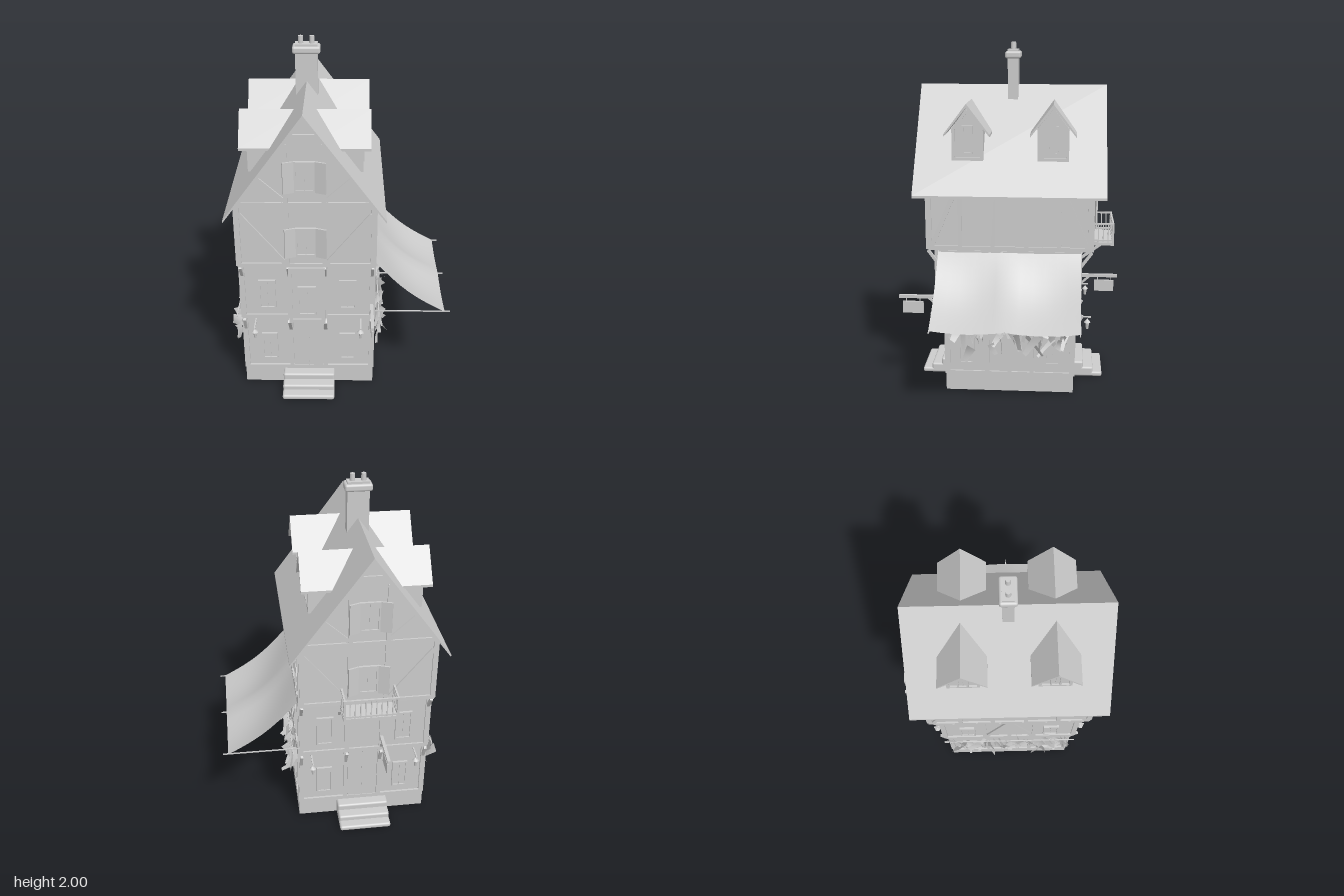
import * as THREE from 'three';
import { RoundedBoxGeometry } from 'three/addons/geometries/RoundedBoxGeometry.js';

const grey = new THREE.MeshStandardMaterial({ color: 0xcccccc });
const thin = new THREE.MeshStandardMaterial({ color: 0xcccccc, side: THREE.DoubleSide });
const W = 0.37;                        // half width of the house
const RIDGE = 1.76, SLOPE = 1.365;     // main roof
const roofY = x => RIDGE - SLOPE * Math.abs(x);

function add(parent, name, geo, x = 0, y = 0, z = 0, mat = grey) {
  const m = new THREE.Mesh(geo, mat);
  m.name = name;
  m.position.set(x, y, z);
  parent.add(m);
  return m;
}
const box = (p, name, w, h, d, x, y, z) => add(p, name, new THREE.BoxGeometry(w, h, d), x, y, z);

function group(parent, name, rotY = 0) {
  const g = new THREE.Group();
  g.name = name;
  g.rotation.y = rotY;
  parent.add(g);
  return g;
}

// Square bar between two points
function bar(p, name, a, b, w = 0.015, d = w) {
  const A = new THREE.Vector3(...a), B = new THREE.Vector3(...b);
  const m = box(p, name, w, A.distanceTo(B), d, 0, 0, 0);
  m.position.copy(A).add(B).multiplyScalar(0.5);
  m.quaternion.setFromUnitVectors(new THREE.Vector3(0, 1, 0), B.sub(A).normalize());
  return m;
}

// Flat timbers on a wall that stands at distance z; each entry is [u1, v1, u2, v2]
function timbers(p, z, list, w = 0.024) {
  for (const [a, b, c, d] of list) bar(p, 'timber', [a, b, z, ], [c, d, z], w, 0.02);
}
const mirrored = list => list.flatMap(([a, b, c, d]) => [[a, b, c, d], [-a, b, -c, d]]);

const rect = (T, w, h) => new T([[-w, -h], [w, -h], [w, h], [-w, h]].map(([x, y]) => new THREE.Vector2(x / 2, y / 2)));

function ring(w, d, t, h) {
  const s = rect(THREE.Shape, w, d);
  s.holes.push(rect(THREE.Path, w - 2 * t, d - 2 * t));
  return new THREE.ExtrudeGeometry(s, { depth: h, bevelEnabled: false });
}

function windowAt(p, u, v, z, w = 0.09, h = 0.18) {
  const g = group(p, 'window');
  g.position.set(u, v, z);
  add(g, 'windowFrame', ring(w, h, 0.01, 0.014));
  box(g, 'windowPane', w - 0.015, h - 0.015, 0.006, 0, 0, 0.003);
  box(g, 'mullion', 0.005, h - 0.015, 0.005, 0, 0, 0.007);
  return g;
}

function shutteredWindow(p, v, z) {
  const g = windowAt(p, 0, v, z, 0.11, 0.17);
  for (const s of [-1, 1]) {
    const m = box(g, 'shutter', 0.06, 0.175, 0.01, s * 0.083, 0, 0.022);
    m.rotation.y = -s * 0.35;
  }
}

// Chevron-shaped roof sheet, half width w, ridge at y, extruded along z
function chevron(w, y, slope, length, t = 0.014) {
  const s = new THREE.Shape([[-w, y - slope * w], [0, y], [w, y - slope * w], [w, y - slope * w - t], [0, y - t * 1.5],
    [-w, y - slope * w - t]].reverse().map(p => new THREE.Vector2(...p)));
  return new THREE.ExtrudeGeometry(s, { depth: length, bevelEnabled: false });
}

function seeded(seed) {
  return () => (seed = (seed * 16807) % 2147483647) / 2147483647;
}

// Gable wall: timber frame, windows, steps, door, lanterns and hanging sign
function endWall(house, name, rotY, signU) {
  const g = group(house, name, rotY);
  const z0 = 0.37, z1 = 0.40, z2 = 0.465;
  // Ground floor
  timbers(g, z0, [[-W, 0.47, W, 0.47], [-W, 0.11, W, 0.11], ...mirrored([[0.36, 0.1, 0.36, 0.48], [0.1, 0.1, 0.1, 0.48]])]);
  for (const u of [-0.225, 0.225]) windowAt(g, u, 0.26, z0);
  box(g, 'door', 0.17, 0.35, 0.012, 0, 0.28, z0);
  box(g, 'doorSplit', 0.006, 0.35, 0.016, 0, 0.28, z0);
  [[0.55, 0.03], [0.495, 0.06], [0.435, 0.095]].forEach(([z, y]) =>
    add(g, 'step', new RoundedBoxGeometry(0.3, y, z - 0.36, 2, 0.012), 0, y / 2, (z + 0.36) / 2));
  // First floor
  timbers(g, z1, [[-W, 0.49, W, 0.49], [-W, 0.845, W, 0.845], ...mirrored([[0.36, 0.48, 0.36, 0.86], [0.1, 0.48, 0.1, 0.86]])]);
  for (const u of [-0.225, 0.225]) windowAt(g, u, 0.64, z1, 0.095, 0.185);
  for (const u of [-0.36, -0.1, 0.1, 0.36]) {
    bar(g, 'floorBracket', [u, 0.38, z0], [u, 0.475, z1 + 0.02], 0.016);
    bar(g, 'jettyBracket', [u, 0.76, z1], [u, 0.85, z2], 0.016);
  }
  // Upper floor and gable
  const rake = o => [o, roofY(o) - 0.03];
  timbers(g, z2, [[-W, 0.87, W, 0.87], [-W, 1.24, W, 1.24], [-0.09, 1.62, 0.09, 1.62],
    ...mirrored([[0.36, 0.86, 0.36, 1.25], [0.1, 0.86, 0.1, 1.58], [0.35, 1.18, 0.11, 0.88],
      [0.11, 1.26, ...rake(0.25)], [...rake(0.36), 0, RIDGE - 0.03]])]);
  shutteredWindow(g, 1.015, z2);
  shutteredWindow(g, 1.4, z2);
  // Lanterns
  for (const u of [-0.3, 0.3]) {
    const l = group(g, 'lantern');
    l.position.set(u, 0.4, 0.45);
    bar(l, 'lanternArm', [0, 0.045, -0.08], [0, 0.045, 0.02], 0.008);
    add(l, 'lanternGlass', new THREE.CylinderGeometry(0.012, 0.007, 0.04, 6), 0, -0.008);
    add(l, 'lanternCap', new THREE.ConeGeometry(0.02, 0.025, 6), 0, 0.024);
  }
  // Sign on a beam
  bar(g, 'signBeam', [signU, 0.57, z1 - 0.02], [signU, 0.57, 0.64], 0.018);
  bar(g, 'signBrace', [signU, 0.5, z1], [signU, 0.565, 0.47], 0.012);
  box(g, 'signBoard', 0.012, 0.07, 0.12, signU, 0.505, 0.56);
  for (const z of [0.52, 0.6]) bar(g, 'signHook', [signU, 0.53, z], [signU, 0.57, z], 0.005);
  return g;
}

// Long wall: timbers, windows, hanging rags and two dormers
function sideWall(house, name, rotY, seed) {
  const g = group(house, name, rotY);
  timbers(g, W, [[-0.37, 0.47, 0.37, 0.47], [-0.37, 0.11, 0.37, 0.11], [0, 0.1, 0, 0.48],
    ...mirrored([[0.36, 0.1, 0.36, 0.48], [0.13, 0.1, 0.13, 0.48]])]);
  timbers(g, W, [[-0.4, 0.49, 0.4, 0.49], [-0.4, 0.845, 0.4, 0.845], [0, 0.48, 0, 0.86],
    ...mirrored([[0.39, 0.48, 0.39, 0.86], [0.15, 0.48, 0.15, 0.86], [0.01, 0.83, 0.14, 0.5]])]);
  timbers(g, W, [[-0.46, 0.87, 0.46, 0.87], [-0.46, 1.22, 0.46, 1.22],
    ...mirrored([[0.453, 0.86, 0.453, 1.24], [0.28, 0.86, 0.28, 1.24], [0.095, 0.86, 0.095, 1.24], [0.44, 0.88, 0.3, 1.21]])]);
  for (const u of [-0.25, 0.25]) {
    windowAt(g, u, 0.26, W);
    windowAt(g, u, 0.64, W);
  }
  // Rags hung from a line under the first floor
  const rnd = seeded(seed), rags = group(g, 'hangingRags');
  bar(rags, 'ragLine', [-0.4, 0.48, 0.405], [0.4, 0.48, 0.405], 0.006);
  for (let i = 0; i < 54; i++) {
    const w = 0.02 + 0.04 * rnd(), h = 0.06 + 0.09 * rnd();
    const geo = new THREE.PlaneGeometry(w, h, 2, 3), p = geo.attributes.position;
    for (let k = 0; k < p.count; k++) {
      const t = p.getY(k) / h;
      p.setX(k, p.getX(k) * (0.75 + 0.5 * t));
      p.setZ(k, 0.03 * t * t + 0.01 * Math.sin(p.getX(k) * 90));
    }
    geo.computeVertexNormals();
    const u = -0.36 + 0.73 * ((i + rnd()) / 54);
    const drop = rnd() ** 1.5 * (0.1 + 0.12 * Math.abs(Math.sin(u * 9)));
    const m = add(rags, 'rag', geo, u, 0.44 - drop, 0.385 + 0.035 * rnd(), thin);
    m.rotation.set((rnd() - 0.5) * 0.6, (rnd() - 0.5) * 2.2, (rnd() - 0.5) * 1.6);
  }
  // Dormers
  for (const u of [-0.24, 0.24]) {
    const d = group(g, 'dormer');
    d.position.x = u;
    const face = new THREE.Shape([[-0.088, 1.355], [0.088, 1.355], [0.088, 1.54], [0, 1.66], [-0.088, 1.54]]
      .map(p => new THREE.Vector2(...p)));
    add(d, 'dormerWall', new THREE.ExtrudeGeometry(face, { depth: 0.245, bevelEnabled: false }), 0, 0, 0.05);
    add(d, 'dormerRoof', chevron(0.129, 1.68, 1.31, 0.335), 0, 0, 0.01);
    timbers(d, 0.295, [[-0.085, 1.37, 0.085, 1.37], ...mirrored([[0.08, 1.36, 0.08, 1.54], [0.085, 1.53, 0, 1.64]])], 0.016);
    windowAt(d, 0, 1.475, 0.297, 0.06, 0.16);
  }
  return g;
}

export function createModel() {
  const model = new THREE.Group();
  model.name = 'timberFramedHouse';
  const house = group(model, 'house');
  house.position.x = -0.185;

  // Hollow plinth and ground floor, open underneath
  add(house, 'plinth', ring(0.75, 0.745, 0.03, 0.1), 0, 0.1, 0).rotation.x = Math.PI / 2;
  add(house, 'groundFloorWalls', ring(0.74, 0.735, 0.02, 0.39), 0, 0.485, 0).rotation.x = Math.PI / 2;
  box(house, 'firstFloorWalls', 0.74, 0.375, 0.8, 0, 0.67, 0);
  const gable = new THREE.Shape([[-W, 0.855], [W, 0.855], [W, roofY(W) - 0.01], [0, RIDGE - 0.012], [-W, roofY(W) - 0.01]]
    .map(p => new THREE.Vector2(...p)));
  add(house, 'upperWalls', new THREE.ExtrudeGeometry(gable, { depth: 0.93, bevelEnabled: false }), 0, 0, -0.465);
  add(house, 'mainRoof', chevron(0.425, RIDGE, SLOPE, 1.08), 0, 0, -0.54);

  const front = endWall(house, 'frontWall', 0, 0.36);
  const back = endWall(house, 'backWall', Math.PI, 0.1);
  sideWall(house, 'leftWall', Math.PI / 2, 11);
  sideWall(house, 'rightWall', -Math.PI / 2, 47);

  // Front bay window
  box(front, 'bay', 0.19, 0.35, 0.07, 0, 0.67, 0.43);
  timbers(front, 0.463, [[-0.1, 0.505, 0.1, 0.505], [-0.1, 0.84, 0.1, 0.84], ...mirrored([[0.09, 0.49, 0.09, 0.85]])], 0.02);
  windowAt(front, 0, 0.64, 0.465, 0.1, 0.185);
  for (const u of [-0.1, 0.1]) bar(front, 'bayBracket', [u, 0.38, 0.37], [u, 0.49, 0.46], 0.018);

  // Back balcony
  const balcony = group(back, 'balcony');
  box(balcony, 'balconyFloor', 0.3, 0.02, 0.14, 0, 0.845, 0.53);
  const rail = (a, b, n) => {
    for (const y of [0.865, 0.965]) bar(balcony, 'rail', [a[0], y, a[1]], [b[0], y, b[1]], 0.01);
    for (let i = 0; i <= n; i++) {
      const x = a[0] + (b[0] - a[0]) * i / n, z = a[1] + (b[1] - a[1]) * i / n;
      bar(balcony, 'baluster', [x, 0.855, z], [x, 0.97, z], i % n ? 0.006 : 0.012);
    }
  };
  rail([-0.144, 0.594], [0.144, 0.594], 10);
  for (const u of [-0.144, 0.144]) {
    rail([u, 0.48], [u, 0.594], 4);
    bar(balcony, 'balconyBrace', [u, 0.75, 0.4], [u, 0.84, 0.52], 0.015);
  }

  // Chimney with cap and two pots
  const chimney = group(house, 'chimney');
  box(chimney, 'stack', 0.12, 0.36, 0.06, 0, 1.74, 0);
  add(chimney, 'cap', new RoundedBoxGeometry(0.15, 0.04, 0.09, 2, 0.012), 0, 1.93, 0);
  box(chimney, 'capTop', 0.12, 0.016, 0.06, 0, 1.953, 0);
  for (const x of [-0.03, 0.03])
    add(chimney, 'pot', new THREE.CylinderGeometry(0.013, 0.015, 0.06, 12), x, 1.97, 0);

  // Sagging awning on three poles
  const awning = group(model, 'awning');
  const cloth = new THREE.PlaneGeometry(1, 0.81, 12, 12), p = cloth.attributes.position;
  for (let i = 0; i < p.count; i++) {
    const t = p.getX(i) + 0.5, z = p.getY(i);
    const sag = Math.sin(Math.PI * t) * (0.03 + 0.018 * Math.abs(Math.sin(z * 7.75)));
    const hem = 0.015 * t * Math.abs(Math.sin(z * 7.75));
    p.setXYZ(i, 0.185 + 0.405 * t - sag * 0.4, 0.86 - 0.335 * t - sag - hem, -z);
  }
  cloth.computeVertexNormals();
  add(awning, 'cloth', cloth, 0, 0, 0, thin);
  for (const z of [-0.4, 0, 0.4]) bar(awning, 'awningPole', [0.18, 0.525, z], [0.62, 0.525, z], 0.006);
  return model;
}
